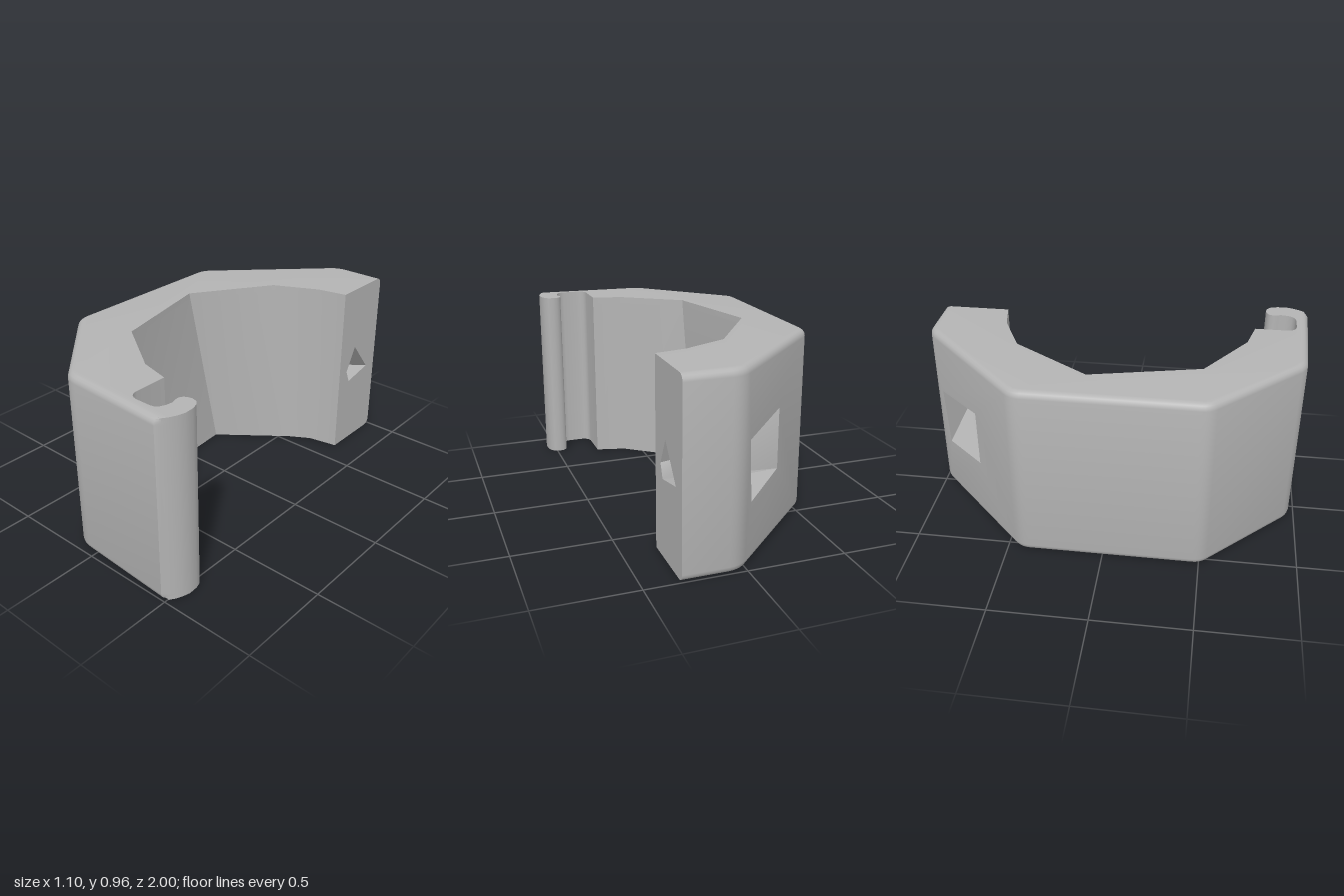
import * as THREE from 'three';
import { toCreasedNormals } from 'three/addons/utils/BufferGeometryUtils.js';

const BASE = 0.006, TOP = 0.967, BEVEL = 0.035, STEPS = 4;

const V = (x, y, z) => new THREE.Vector3(x, y, z);
const pts = list => list.map(([x, z]) => new THREE.Vector2(x, z));

// Outer wall, from the back arm tip round to the front lip (x, z)
function outerWall() {
  const p = new THREE.Path();
  p.moveTo(0.32, -1);
  p.lineTo(0.09, -1);
  p.quadraticCurveTo(0.04, -1, 0, -0.965);
  p.lineTo(-0.515, -0.465);
  p.quadraticCurveTo(-0.55, -0.43, -0.55, -0.385);
  p.lineTo(-0.55, 0.465);
  p.quadraticCurveTo(-0.55, 0.51, -0.52, 0.54);
  p.lineTo(-0.125, 0.94);
  p.quadraticCurveTo(-0.09, 0.97, -0.045, 0.972);
  p.lineTo(0.48, 1);
  return p.getPoints(STEPS);
}

// Snap hook at the front arm tip
function hookWall() {
  const p = new THREE.Path();
  p.moveTo(0.48, 1);
  p.quadraticCurveTo(0.53, 0.96, 0.547, 0.88);
  p.quadraticCurveTo(0.55, 0.77, 0.485, 0.77);
  p.quadraticCurveTo(0.435, 0.775, 0.435, 0.81);
  p.quadraticCurveTo(0.435, 0.825, 0.445, 0.85);
  p.quadraticCurveTo(0.44, 0.93, 0.39, 0.93);
  p.lineTo(0.31, 0.93);
  p.quadraticCurveTo(0.26, 0.925, 0.26, 0.88);
  return p.getPoints(STEPS).slice(1);
}

// Bore facets lean, so the bottom and top outlines differ
const boreBottom = pts([[0.26, 0.71], [0.1, 0.67], [-0.26, 0.39], [-0.3, -0.27], [0.05, -0.545], [0.16, -0.61], [0.32, -0.64]]);
const boreTop = pts([[0.26, 0.71], [0.1, 0.67], [-0.21, 0.46], [-0.34, -0.1], [-0.07, -0.5], [0.16, -0.61], [0.32, -0.64]]);

// Move an open chain inward along its mitred normals
function inset(chain, d) {
  const normal = i => {
    const e = chain[i + 1].clone().sub(chain[i]).normalize();
    return new THREE.Vector2(-e.y, e.x);
  };
  return chain.map((p, i) => {
    const a = normal(Math.max(i - 1, 0)), b = normal(Math.min(i, chain.length - 2));
    const m = a.clone().add(b).normalize();
    return p.clone().addScaledVector(m, -d / m.dot(a));
  });
}

export function createModel() {
  const grey = new THREE.MeshStandardMaterial({ color: 0xb4b4b4 });
  grey.name = 'grey plastic';

  const pos = [];
  const tri = (...v) => v.forEach(p => pos.push(p.x, p.y, p.z));
  const quad = (a, b, c, d) => { tri(a, b, c); tri(a, c, d); };

  // Horizontal layers: rounded bottom edge, straight middle, rounded top edge
  const outer = outerWall(), hook = hookWall();
  const levels = [];
  for (let i = 0; i <= STEPS; i++) {
    const t = (i / STEPS) * Math.PI / 2;
    levels.push([BASE + BEVEL * (1 - Math.cos(t)), BEVEL * (1 - Math.sin(t))]);
  }
  for (let i = STEPS; i >= 0; i--) levels.push([BASE + TOP - levels[i][0], levels[i][1]]);
  const layers = levels.map(([y, d]) => {
    const t = (y - BASE) / (TOP - BASE);
    const bore = boreBottom.map((p, i) => p.clone().lerp(boreTop[i], t));
    return [...inset(outer, d), ...hook, ...bore].map(p => V(p.x, y, p.y));
  });

  const n = layers[0].length;
  const slant = 1 + STEPS; // segment of the sloping back wall
  for (let i = 0; i < layers.length - 1; i++) {
    for (let j = 0; j < n - 1; j++) {
      if (i === STEPS && j === slant) continue;
      quad(layers[i][j], layers[i][j + 1], layers[i + 1][j + 1], layers[i + 1][j]);
    }
  }

  // Top and bottom faces
  const cap = (layer, up) => {
    const flat = layer.map(p => new THREE.Vector2(p.x, -p.z));
    for (const [a, b, c] of THREE.ShapeUtils.triangulateShape(flat, [])) {
      if (up) tri(layer[a], layer[b], layer[c]);
      else tri(layer[a], layer[c], layer[b]);
    }
  };
  cap(layers[0], false);
  cap(layers[layers.length - 1], true);

  // Flat walls pierced by the screw hole; side gives the viewing sense of z
  const piercedWall = (outline, hole, side) => {
    const flat = p => new THREE.Vector2(side * p.z, p.y);
    const o = [...outline], h = [...hole];
    if (THREE.ShapeUtils.isClockWise(o.map(flat))) o.reverse();
    if (!THREE.ShapeUtils.isClockWise(h.map(flat))) h.reverse();
    const all = [...o, ...h];
    for (const f of THREE.ShapeUtils.triangulateShape(o.map(flat), [h.map(flat)])) tri(...f.map(k => all[k]));
  };
  const tipHole = [[-0.78, 0.605], [-0.92, 0.435], [-0.74, 0.4], [-0.71, 0.47]].map(([z, y]) => V(0.32, y, z));
  const s0 = layers[STEPS][slant], s1 = layers[STEPS][slant + 1];
  const backHole = [[-0.945, 0.62], [-0.925, 0.31], [-0.69, 0.35], [-0.69, 0.66]].map(([z, y]) =>
    V(THREE.MathUtils.mapLinear(z, s0.z, s1.z, s0.x, s1.x), y, z));

  const last = layers.length - 1;
  piercedWall([...layers.map(l => l[0]), layers[last][n - 1], layers[0][n - 1]], tipHole, -1);
  piercedWall([s0, s1, layers[STEPS + 1][slant + 1], layers[STEPS + 1][slant]], backHole, 1);

  // Tapered walls of the screw hole
  for (let i = 0; i < 4; i++) {
    const k = (i + 1) % 4;
    quad(tipHole[i], backHole[i], backHole[k], tipHole[k]);
  }

  const geometry = new THREE.BufferGeometry();
  geometry.setAttribute('position', new THREE.Float32BufferAttribute(pos, 3));
  const clip = new THREE.Mesh(toCreasedNormals(geometry, THREE.MathUtils.degToRad(35)), grey);
  clip.name = 'clampBody';

  const group = new THREE.Group();
  group.name = 'pipeClamp';
  group.add(clip);
  return group;
}
